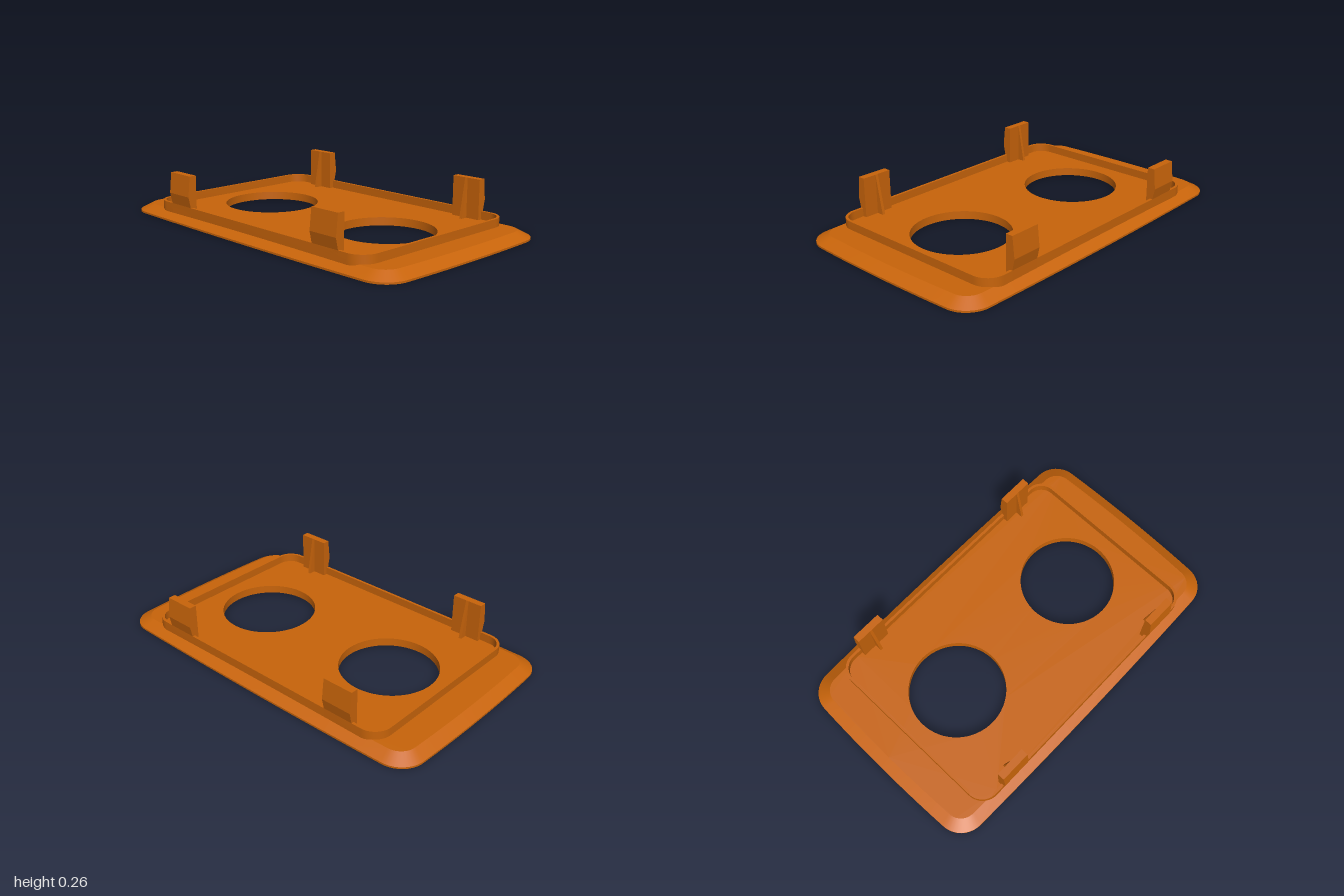
import * as THREE from 'three';
import { mergeGeometries, toCreasedNormals } from 'three/addons/utils/BufferGeometryUtils.js';

const TOP = 0.045;
const material = new THREE.MeshStandardMaterial({ color: 0xc8640a });

// Counter-clockwise rounded rectangle whose straight edges may bow outwards
function outline(hx, hy, r, bow = 0) {
  const points = [];
  const corners = [[1, 1], [-1, 1], [-1, -1], [1, -1]];
  const arcSteps = 10, edgeSteps = 10;
  corners.forEach(([sx, sy], k) => {
    for (let i = 0; i <= arcSteps; i++) {
      const a = (k + i / arcSteps) * Math.PI / 2;
      points.push(new THREE.Vector2(sx * (hx - r) + r * Math.cos(a), sy * (hy - r) + r * Math.sin(a)));
    }
    if (!bow) return;
    const [nx, ny] = corners[(k + 1) % 4];
    const a = (k + 1) * Math.PI / 2;
    for (let i = 1; i < edgeSteps; i++) {
      const t = i / edgeSteps;
      const reach = r + bow * (1 - (2 * t - 1) ** 2);
      points.push(new THREE.Vector2(
        THREE.MathUtils.lerp(sx, nx, t) * (hx - r) + reach * Math.cos(a),
        THREE.MathUtils.lerp(sy, ny, t) * (hy - r) + reach * Math.sin(a)));
    }
  });
  return points;
}

// Band of faces joining closed rings; each ring is [points, height]
function band(rings) {
  const positions = [], index = [];
  const n = rings[0][0].length;
  for (const [points, y] of rings) for (const p of points) positions.push(p.x, y, -p.y);
  for (let k = 0; k < rings.length - 1; k++) {
    for (let i = 0; i < n; i++) {
      const a = k * n + i, b = k * n + (i + 1) % n;
      index.push(a, b, b + n, a, b + n, a + n);
    }
  }
  const g = new THREE.BufferGeometry();
  g.setAttribute('position', new THREE.Float32BufferAttribute(positions, 3));
  g.setIndex(index);
  return toCreasedNormals(g, 0.4);
}

function cap(points, holes, y, up) {
  const shape = new THREE.Shape(points);
  shape.holes = holes.map((h) => new THREE.Path(h));
  const g = new THREE.ShapeGeometry(shape).toNonIndexed();
  g.deleteAttribute('uv');
  return g.rotateX(up ? -Math.PI / 2 : Math.PI / 2).translate(0, y, 0);
}

function addMesh(parent, name, geometry) {
  const mesh = new THREE.Mesh(geometry, material);
  mesh.name = name;
  parent.add(mesh);
  return mesh;
}

// Side profile (z, y) extruded to a width centred on x = 0
function slab(profile, width) {
  const shape = new THREE.Shape(profile.map(([z, y]) => new THREE.Vector2(z, y)));
  return new THREE.ExtrudeGeometry(shape, { depth: width, bevelEnabled: false })
    .translate(0, 0, -width / 2).rotateY(-Math.PI / 2);
}

export function createModel() {
  const model = new THREE.Group();
  model.name = 'twinHoleCoverPlate';

  // Bevelled plate with two round openings
  const outer = outline(0.99, 0.585, 0.14, 0.01);
  const inner = outline(0.927, 0.522, 0.09, 0.01);
  const holes = [-0.428, 0.45].map((cx) => Array.from({ length: 64 }, (_, i) => {
    const a = -i / 64 * Math.PI * 2;
    return new THREE.Vector2(cx + 0.263 * Math.cos(a), 0.263 * Math.sin(a));
  }));
  const plateParts = [
    cap(outer, holes, 0, false),
    cap(inner, holes, TOP, true),
    band([[outer, 0], [outer, 0.01], [inner, TOP]]),
    ...holes.map((h) => band([[h, 0], [h, TOP]])),
  ];
  addMesh(model, 'plate', mergeGeometries(plateParts));

  // Thin raised lip, sitting slightly off centre
  const lipShape = new THREE.Shape(outline(0.8, 0.541, 0.1));
  lipShape.holes.push(new THREE.Path(outline(0.785, 0.526, 0.085)));
  const lipGeometry = new THREE.ExtrudeGeometry(lipShape, { depth: 0.065, bevelEnabled: false });
  const lip = addMesh(model, 'lip', toCreasedNormals(lipGeometry.rotateX(-Math.PI / 2), 0.5));
  lip.position.set(0.01, 0.025, 0.002);

  // Four snap clips, each with a tapered rib on its inner face
  const tongue = slab([[0.502, 0.03], [0.541, 0.03], [0.541, 0.09], [0.554, 0.15], [0.542, 0.263], [0.502, 0.263]], 0.172);
  const rib = slab([[0.461, 0.04], [0.505, 0.04], [0.505, 0.263], [0.502, 0.263]], 0.016);
  for (const side of [1, -1]) {
    for (const x of [-0.549, 0.571]) {
      const clip = new THREE.Group();
      clip.name = (side > 0 ? 'front' : 'back') + (x > 0 ? 'Left' : 'Right') + 'Clip';
      addMesh(clip, 'clipTongue', tongue);
      addMesh(clip, 'clipRib', rib);
      clip.position.set(x, 0, 0.002);
      clip.rotation.y = side > 0 ? 0 : Math.PI;
      model.add(clip);
    }
  }
  return model;
}
